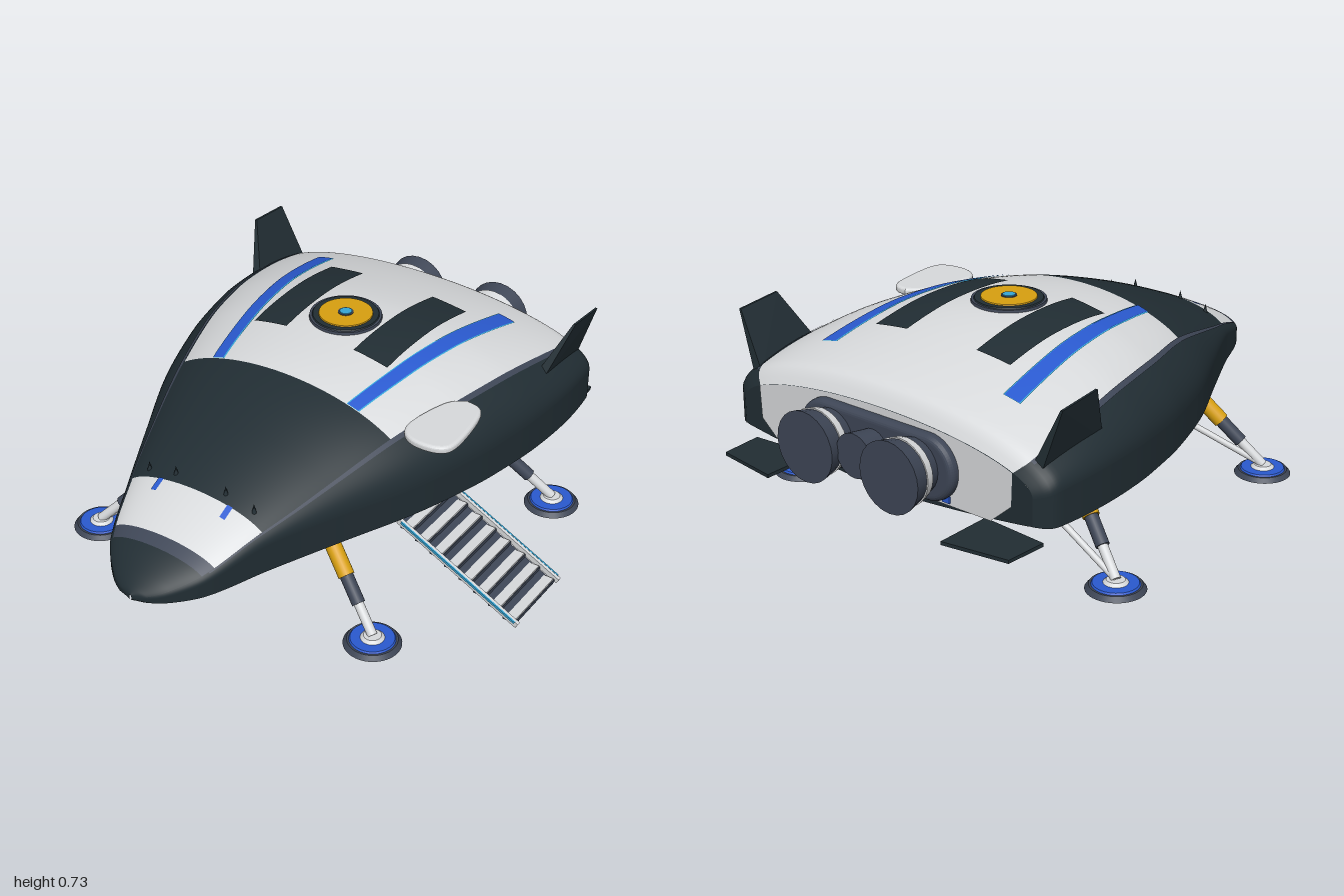
import * as THREE from 'three';
import { ConvexGeometry } from 'three/addons/geometries/ConvexGeometry.js';

const mat = (name, color) => Object.assign(new THREE.MeshStandardMaterial({ color }), { name });
const dark = mat('dark hull', 0x212d33);
const light = mat('light panel', 0xd8dadc);
const slate = mat('slate metal', 0x3e4656);
const blue = mat('blue', 0x2a5ad0);
const cyan = mat('cyan', 0x36a6d6);
const yellow = mat('yellow', 0xd8a010);

// Hull stations: z, half width, shoulder y, chine y, keel y, roof y, trim angle from vertical
const stations = [
  [1.0, 0.004, 0.285, 0.28, 0.275, 0.295, 1.2],
  [0.985, 0.055, 0.29, 0.277, 0.266, 0.31, 1.2],
  [0.94, 0.12, 0.305, 0.277, 0.255, 0.345, 1.2],
  [0.855, 0.195, 0.335, 0.281, 0.245, 0.395, 1.19],
  [0.65, 0.285, 0.39, 0.288, 0.23, 0.492, 1.16],
  [0.4, 0.405, 0.405, 0.297, 0.214, 0.592, 1.03],
  [0.15, 0.525, 0.41, 0.304, 0.202, 0.668, 0.935],
  [-0.1, 0.61, 0.42, 0.306, 0.196, 0.705, 0.95],
  [-0.25, 0.645, 0.425, 0.307, 0.195, 0.71, 0.96],
  [-0.4, 0.67, 0.43, 0.307, 0.2, 0.698, 0.97],
  [-0.6, 0.682, 0.43, 0.307, 0.213, 0.655, 1.0],
  [-0.78, 0.668, 0.42, 0.305, 0.233, 0.6, 1.05],
  [-0.82, 0.65, 0.41, 0.305, 0.24, 0.575, 1.06],
  [-0.845, 0.61, 0.4, 0.308, 0.252, 0.53, 1.07],
];
const BACK = -0.845;

// Smooth interpolation of one station column
function at(z, c) {
  const n = stations.length;
  let i = 0;
  while (i < n - 2 && z < stations[i + 1][0]) i++;
  const slope = k => {
    const a = stations[Math.max(0, k - 1)], b = stations[Math.min(n - 1, k + 1)];
    return (b[c] - a[c]) / (b[0] - a[0]);
  };
  const a = stations[i], b = stations[i + 1], h = b[0] - a[0], t = (z - a[0]) / h;
  return a[c] * (1 + 2 * t) * (1 - t) ** 2 + slope(i) * h * t * (1 - t) ** 2
    + b[c] * t * t * (3 - 2 * t) + slope(i + 1) * h * t * t * (t - 1);
}

const SIDE = Math.PI / 2, CHINE = SIDE + 0.4;
const trim = z => at(z, 6);

// Point on the hull section: roof ellipse, upright side, then rounded belly
function hullPoint(z, angle, lift = 0) {
  const a = Math.abs(angle), s = Math.sign(angle), w = at(z, 1), ys = at(z, 2), yl = at(z, 3), yb = at(z, 4);
  if (a <= SIDE) return [s * (w + lift) * Math.sin(a), ys + (at(z, 5) - ys + lift) * Math.cos(a), z];
  if (a <= CHINE) return [s * (w + lift), ys + (yl - ys) * (a - SIDE) / (CHINE - SIDE), z];
  const k = Math.max(0, 1 - (a - CHINE) / (Math.PI - CHINE));
  return [s * w * k, yb + (yl - yb) * k ** 1.55 - lift, z];
}

// Sheet of hull skin between two z values and two angle rules
function sheet(z0, z1, from, to, lift = 0, nz = 50, na = 32) {
  const pos = [], idx = [];
  for (let i = 0; i <= nz; i++) {
    const z = z0 + (z1 - z0) * i / nz, a0 = from(z), a1 = to(z);
    for (let j = 0; j <= na; j++) pos.push(...hullPoint(z, a0 + (a1 - a0) * j / na, lift));
  }
  for (let i = 0; i < nz; i++) for (let j = 0; j < na; j++) {
    const p = i * (na + 1) + j, q = p + na + 1;
    idx.push(p, p + 1, q, p + 1, q + 1, q);
  }
  const g = new THREE.BufferGeometry();
  g.setAttribute('position', new THREE.Float32BufferAttribute(pos, 3));
  g.setIndex(idx);
  g.computeVertexNormals();
  return g;
}

export function createModel() {
  const model = new THREE.Group();
  model.name = 'shuttle';
  const ship = new THREE.Group();
  ship.name = 'ship';
  ship.position.x = -0.081;
  model.add(ship);

  const add = (name, geo, material, parent = ship, x = 0, y = 0, z = 0) => {
    const m = new THREE.Mesh(geo, material);
    m.name = name;
    m.position.set(x, y, z);
    parent.add(m);
    return m;
  };
  const rod = (name, a, b, r0, r1, material, parent = ship) => {
    const A = new THREE.Vector3(...a), B = new THREE.Vector3(...b), d = B.clone().sub(A);
    const m = add(name, new THREE.CylinderGeometry(r1, r0, d.length(), 24), material, parent);
    m.position.copy(A).add(B).multiplyScalar(0.5);
    m.quaternion.setFromUnitVectors(new THREE.Vector3(0, 1, 0), d.normalize());
  };
  const mix = (a, b, t) => a.map((v, i) => v + (b[i] - v) * t);
  const solid = pts => new ConvexGeometry(pts.map(p => new THREE.Vector3(...p)));

  // Upper skin, nose to tail
  const negTrim = z => -trim(z);
  add('nose', sheet(1, 0.86, negTrim, trim), dark);
  add('noseBand', sheet(0.86, 0.82, negTrim, trim, 0, 6), slate);
  add('frontPanel', sheet(0.82, 0.65, negTrim, trim), light);
  add('canopy', sheet(0.65, 0.15, negTrim, trim), dark);
  add('roof', sheet(0.15, BACK, negTrim, trim, 0, 80), light);

  for (const s of [-1, 1]) {
    // Skin strip on one side, between two angle rules
    const strip = (name, z0, z1, a, b, material, lift, nz, na) =>
      add(name, s > 0 ? sheet(z0, z1, a, b, lift, nz, na) : sheet(z0, z1, z => -b(z), z => -a(z), lift, nz, na), material);
    const x = f => z => Math.asin(Math.min(1, f(z) / at(z, 1)));

    strip('shoulder', 1, BACK, trim, () => SIDE, dark, 0, 120, 12);
    strip('hullSide', 1, BACK, () => SIDE, () => CHINE, dark, 0, 120, 4);
    strip('belly', 1, BACK, () => CHINE, () => Math.PI, dark, 0, 120, 16);
    strip('trimStrip', 0.84, -0.81, z => trim(z) - 0.005, z => trim(z) + 0.042, slate, 0.003, 100, 6);

    // Roof stripes, dark roof panels and short front marks
    const mid = z => 0.3 - 0.175 * z - 0.075 * z * z;
    const half = z => 0.022 - 0.011 * z;
    strip('stripeEdge', 0.15, -0.67, x(z => mid(z) - half(z) - 0.004), x(z => mid(z) + half(z) + 0.004), cyan, 0.003, 40, 6);
    strip('stripe', 0.15, -0.67, x(z => mid(z) - half(z)), x(z => mid(z) + half(z)), blue, 0.005, 40, 6);
    strip('roofPanel', -0.06, -0.555, x(z => 0.135 - 0.02 * z), x(z => 0.268 - 0.025 * z), dark, 0.006, 30, 10);
    strip('frontMark', 0.695, 0.65, x(() => 0.126), x(() => 0.146), blue, 0.004, 4, 2);

    // Small sensor spikes above the front panel
    for (const px of [0.1, 0.21]) {
      const [hx, hy, hz] = hullPoint(0.62, s * Math.asin(px / at(0.62, 1)));
      add('sensorSpike', new THREE.ConeGeometry(0.009, 0.035, 8), dark, ship, hx, hy + 0.012, hz);
    }

    // Tilted upper fin and flat lower fin
    const finEdge = [[0.592, 0.48, -0.51, 0.02], [0.592, 0.48, -0.8, 0.02], [0.673, 0.68, -0.79, 0.004], [0.673, 0.695, -0.625, 0.004]];
    add('upperFin', solid(finEdge.flatMap(([px, py, pz, t]) => [[s * (px - t), py, pz], [s * (px + t), py, pz]])), dark);
    const plate = [[0.37, -0.78], [0.615, -0.8], [0.605, -0.95], [0.37, -0.985]];
    add('lowerFin', solid(plate.flatMap(([px, pz]) => [[s * px, 0.228, pz], [s * px, 0.24, pz]])), dark);

    // Landing legs
    for (const [top, foot, brace] of [
      [[0.35, 0.26, 0.385], [0.57, 0.03, 0.475], [0.265, 0.225, 0.29]],
      [[0.455, 0.26, -0.43], [0.685, 0.03, -0.53], [0.35, 0.225, -0.52]],
    ]) {
      const leg = new THREE.Group();
      leg.name = 'landingLeg';
      ship.add(leg);
      const T = [s * top[0], top[1], top[2]], F = [s * foot[0], foot[1], foot[2]];
      rod('legSleeve', T, mix(T, F, 0.36), 0.028, 0.028, yellow, leg);
      rod('legPiston', mix(T, F, 0.34), mix(T, F, 0.66), 0.023, 0.023, slate, leg);
      rod('legRod', mix(T, F, 0.64), F, 0.017, 0.017, light, leg);
      rod('legBrace', [s * brace[0], brace[1], brace[2]], F, 0.011, 0.011, light, leg);
      add('footPad', new THREE.CylinderGeometry(0.085, 0.098, 0.016, 40), slate, leg, F[0], 0.008, F[2]);
      add('footRing', new THREE.CylinderGeometry(0.074, 0.078, 0.006, 40), blue, leg, F[0], 0.019, F[2]);
      add('footHub', new THREE.CylinderGeometry(0.03, 0.045, 0.014, 32), light, leg, F[0], 0.025, F[2]);
    }

    // Main engines and tail lights
    const ex = s * 0.178, ey = 0.397;
    rod('mainNozzle', [ex, ey, -0.85], [ex, ey, -1], 0.085, 0.12, slate);
    rod('nozzleBand', [ex, ey, -0.916], [ex, ey, -0.946], 0.105, 0.112, light);
    add('rearLight', new THREE.BoxGeometry(0.03, 0.022, 0.008), blue, ship, s * 0.275, 0.3, BACK - 0.005);
  }
  rod('smallNozzle', [0, 0.405, -0.85], [0, 0.405, -0.965], 0.058, 0.075, slate);

  // Tail wall: dark cap with a light plate over it
  const outline = (limit, extra = []) => {
    const pts = [];
    for (let i = 0; i <= 160; i++) {
      const [px, py] = hullPoint(BACK, limit * (1 - i / 80));
      pts.push(new THREE.Vector2(-px, py));
    }
    return new THREE.Shape(pts.concat(extra.map(e => new THREE.Vector2(...e))));
  };
  const flip = g => g.rotateY(Math.PI);
  add('tailCap', flip(new THREE.ShapeGeometry(outline(Math.PI))), dark, ship, 0, 0, BACK);
  add('tailPlate', flip(new THREE.ShapeGeometry(outline(1.07, [[0.53, 0.35], [0.45, 0.28], [-0.45, 0.28], [-0.53, 0.35]]))), light, ship, 0, 0, BACK - 0.003);

  // Rounded engine mount
  const mount = new THREE.Shape();
  mount.absarc(0.215, 0, 0.09, -SIDE, SIDE);
  mount.absarc(-0.215, 0, 0.09, SIDE, 3 * SIDE);
  add('engineMount', new THREE.ExtrudeGeometry(mount, { depth: 0.02, bevelSize: 0.02, bevelThickness: 0.02, bevelSegments: 5, curveSegments: 20 }),
    slate, ship, 0, 0.395, -0.86);

  // Roof hatch
  const disc = (name, r0, r1, h, y, m) => add(name, new THREE.CylinderGeometry(r0, r1, h, 48), m, ship, 0, y, -0.22);
  disc('hatchBase', 0.125, 0.13, 0.03, 0.699, slate);
  disc('hatchRim', 0.114, 0.118, 0.006, 0.715, dark);
  disc('hatchLid', 0.093, 0.095, 0.006, 0.719, yellow);
  disc('hatchLampRim', 0.027, 0.027, 0.004, 0.722, slate);
  disc('hatchLamp', 0.021, 0.021, 0.006, 0.724, cyan);

  // Raised side door
  const doorEdge = [[0.46, -0.13], [0.52, -0.1], [0.545, 0.08], [0.515, 0.14], [0.42, 0.143], [0.375, 0.08], [0.41, -0.08]];
  const curve = new THREE.SplineCurve([...doorEdge, doorEdge[0]].map(p => new THREE.Vector2(...p)));
  const door = new THREE.ExtrudeGeometry(new THREE.Shape(curve.getPoints(50).slice(0, -1)),
    { depth: 0.008, bevelSize: 0.012, bevelThickness: 0.01, bevelSegments: 4 });
  add('sideDoor', door.rotateX(SIDE), light, model, 0, 0.591, 0);

  // Boarding ramp with level treads between sloping rails
  const tilt = 0.468;
  const ramp = new THREE.Group();
  ramp.name = 'boardingRamp';
  ramp.position.set(0.613, 0.13, 0.01);
  ramp.rotation.z = -tilt;
  model.add(ramp);
  add('rampBed', new THREE.BoxGeometry(0.51, 0.006, 0.27), slate, ramp, 0, -0.012, 0);
  for (let i = 0; i < 8; i++) {
    const step = new THREE.Group();
    step.name = 'rampStep';
    step.position.set(-0.225 + i * 0.065, -0.012, 0);
    step.rotation.z = tilt;
    ramp.add(step);
    add('stepBase', new THREE.BoxGeometry(0.05, 0.012, 0.265), slate, step);
    add('stepTread', new THREE.BoxGeometry(0.036, 0.006, 0.255), light, step, 0.005, 0.009, 0);
  }
  for (const s of [-1, 1]) {
    add('rampRail', new THREE.BoxGeometry(0.525, 0.02, 0.014), light, ramp, 0, 0.004, s * 0.141);
    add('rampLight', new THREE.BoxGeometry(0.5, 0.008, 0.006), cyan, ramp, 0, 0.011, s * 0.149);
  }
  return model;
}
